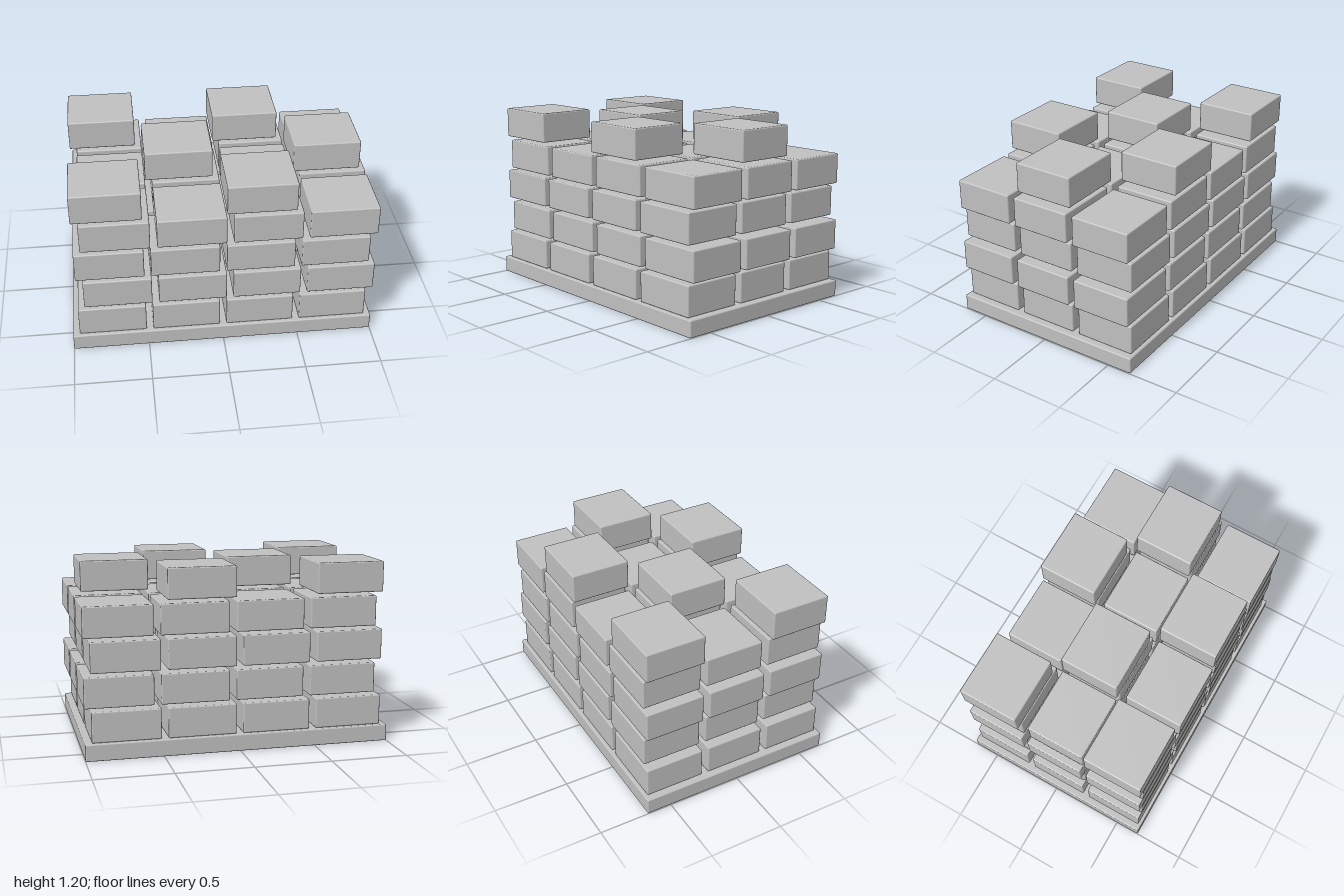
import * as THREE from 'three';
import { RoundedBoxGeometry } from 'three/addons/geometries/RoundedBoxGeometry.js';

const U = 2 / 45; // one grid unit: the pallet is 45 x 2.5 x 30 units

export function createModel() {
  const model = new THREE.Group();
  model.name = 'brickStack';
  const stone = new THREE.MeshStandardMaterial({ color: 0xc0c0c0 });
  stone.name = 'stoneGrey';

  // Base slab
  const base = new THREE.Mesh(new RoundedBoxGeometry(45 * U, 2.5 * U, 30 * U, 2, 0.2 * U), stone);
  base.name = 'baseSlab';
  base.position.y = 1.25 * U;
  model.add(base);

  // Bricks: five layers of 4 x 3, every second layer shifted sideways
  const brickGeometry = new RoundedBoxGeometry(10 * U, 4.5 * U, 9 * U, 2, 0.2 * U);
  for (let layer = 0; layer < 5; layer++) {
    const group = new THREE.Group();
    group.name = `brickLayer${layer + 1}`;
    const shift = layer % 2;
    for (let row = 0; row < 3; row++) {
      for (let col = 0; col < 4; col++) {
        // The top layer is a checkerboard
        if (layer === 4 && (row + col) % 2) continue;
        const brick = new THREE.Mesh(brickGeometry, stone);
        brick.name = 'brick';
        brick.position.set((-16.5 + shift + col * 11) * U, (4.75 + layer * 5) * U, (row - 1) * 10 * U);
        group.add(brick);
      }
    }
    model.add(group);
  }
  return model;
}
